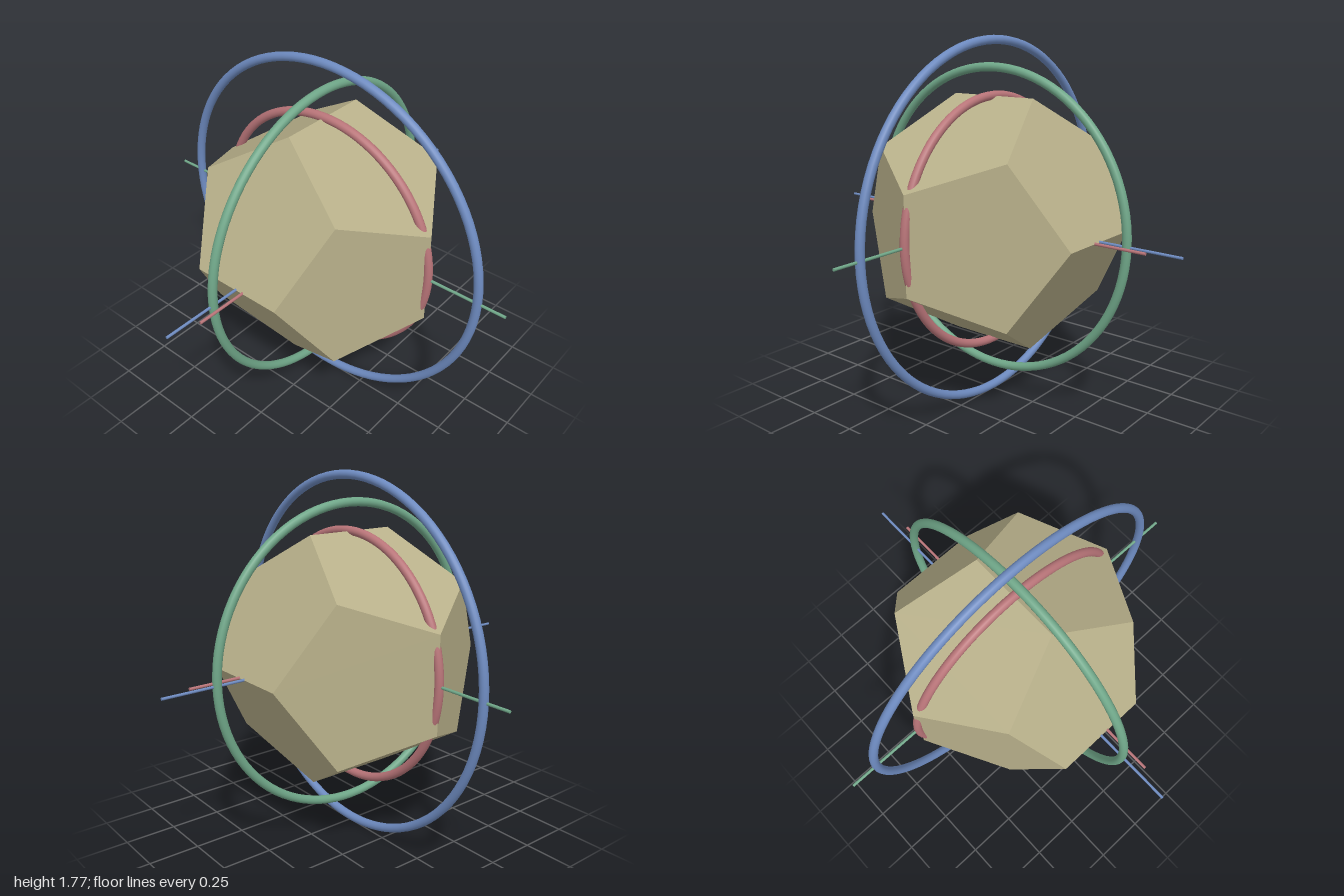
import * as THREE from 'three';

const CENTER_Y = 0.883;
const TUBE = 0.021;

export function createModel() {
  const model = new THREE.Group();
  model.name = 'dodecahedronWithRings';

  const paint = (color, flatShading = false) => new THREE.MeshStandardMaterial({ color, flatShading });
  const red = paint(0xb87478);
  const green = paint(0x6fa688);
  const blue = paint(0x6d8abf);

  const add = (name, geometry, material, x = 0) => {
    const mesh = new THREE.Mesh(geometry, material);
    mesh.name = name;
    mesh.position.set(x, CENTER_Y, 0);
    model.add(mesh);
    return mesh;
  };

  // Faceted core, turned so its top edge runs front to back
  add('core', new THREE.DodecahedronGeometry(0.648).rotateY(Math.PI / 2), paint(0xb8b08a, true));

  // Three rings around the core
  const ring = (radius) => new THREE.TorusGeometry(radius, TUBE, 16, 96);
  add('innerRing', ring(0.607), red);
  add('middleRing', ring(0.738).rotateY(Math.PI / 2), green);
  add('outerRing', ring(0.862), blue);

  // Thin axle rods through the core
  const rod = (radius, length) => new THREE.CylinderGeometry(radius, radius, length, 12);
  add('innerAxle', rod(0.007, 1.7).rotateX(Math.PI / 2), red, 0.04);
  add('middleAxle', rod(0.007, 2).rotateZ(Math.PI / 2), green);
  add('outerAxle', rod(0.0065, 2).rotateX(Math.PI / 2), blue);

  return model;
}
